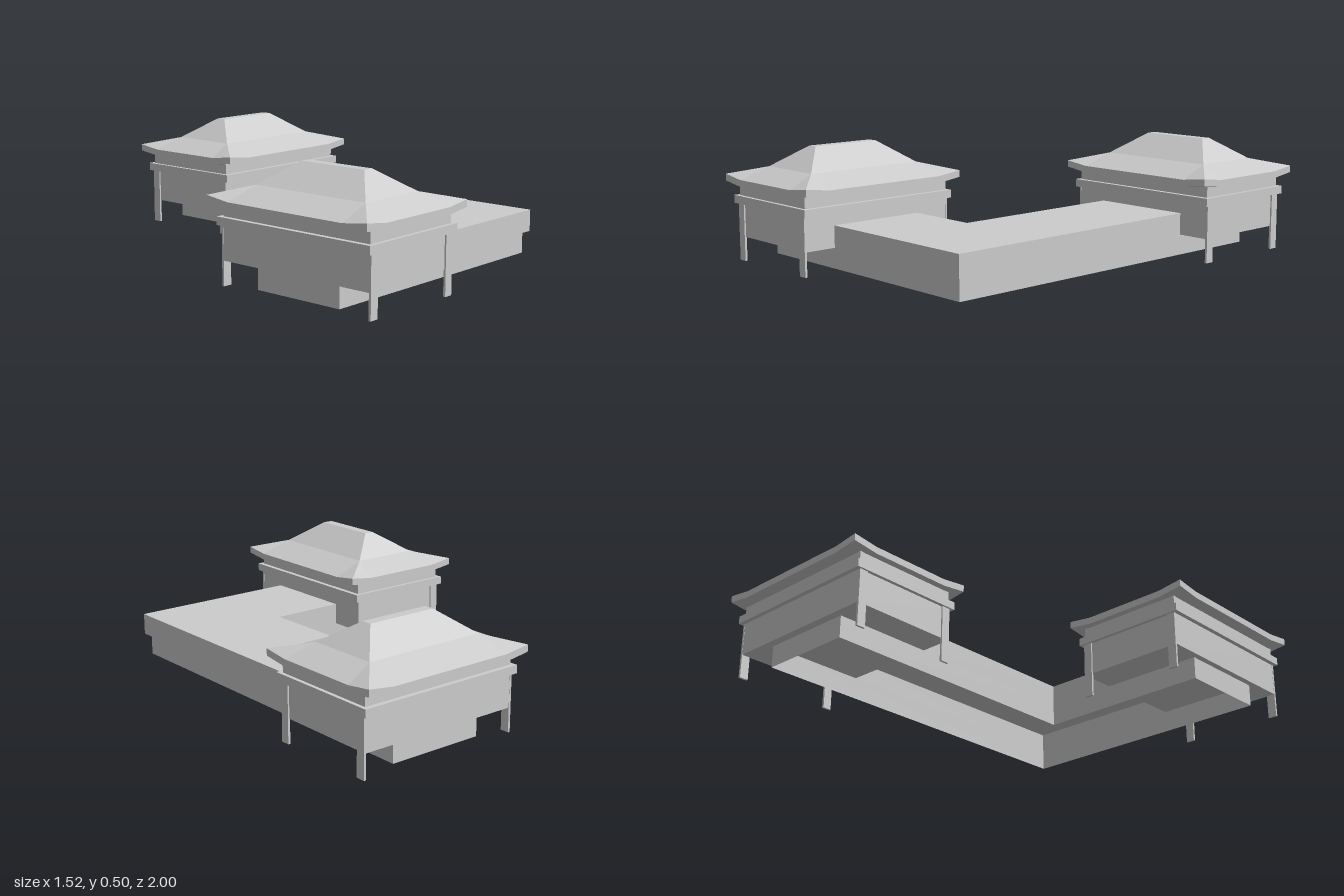
import * as THREE from 'three';

const plaster = new THREE.MeshStandardMaterial({ color: 0xcccccc, side: THREE.DoubleSide });
plaster.name = 'pale grey';

function addMesh(parent, name, geometry, x = 0, y = 0, z = 0) {
  const mesh = new THREE.Mesh(geometry, plaster);
  mesh.name = name;
  mesh.position.set(x, y, z);
  parent.add(mesh);
  return mesh;
}

// Box given by half sizes and its bottom and top heights
function addBox(parent, name, hx, hz, y0, y1, x = 0, z = 0) {
  return addMesh(parent, name, new THREE.BoxGeometry(hx * 2, y1 - y0, hz * 2), x, (y0 + y1) / 2, z);
}

function facets(points) {
  const geometry = new THREE.BufferGeometry().setFromPoints(points);
  geometry.computeVertexNormals();
  return geometry;
}

// Joins a stack of loops (counter-clockwise from above) with flat facets
function skin(loops, closed = true) {
  const out = [];
  const tri = (a, b, c) => {
    const area = b.clone().sub(a).cross(c.clone().sub(a)).length();
    if (area > 1e-8) out.push(a, b, c);
  };
  for (let k = 0; k < loops.length - 1; k++) {
    const a = loops[k], b = loops[k + 1], n = a.length;
    for (let i = 0; i < (closed ? n : n - 1); i++) {
      const j = (i + 1) % n;
      tri(a[i], a[j], b[j]);
      tri(a[i], b[j], b[i]);
    }
  }
  return facets(out);
}

// Twelve-point rectangle: each corner has a point on either side of it;
// lift raises the corner, cut pulls it back onto the chord between its neighbours
function ring(hx, hz, y, inset = 0, lift = 0, cut = 0) {
  const points = [];
  for (const [sx, sz] of [[1, 1], [1, -1], [-1, -1], [-1, 1]]) {
    const alongX = new THREE.Vector3(sx * (hx - inset), y, sz * hz);
    const alongZ = new THREE.Vector3(sx * hx, y, sz * (hz - inset));
    const corner = new THREE.Vector3(sx * (hx - cut), y + lift, sz * (hz - cut));
    points.push(...(sx * sz > 0 ? [alongX, corner, alongZ] : [alongZ, corner, alongX]));
  }
  return points;
}

// Hipped roof with a bent slope and raised eave corners
function roofGeometry() {
  const c = 0.115;
  return skin([
    ring(0, 0, 0.33),
    ring(0.305, 0.405, 0.33, c, 0, c / 2),
    ring(0.305, 0.405, 0.33, c, 0.015),
    ring(0.305, 0.405, 0.36, c, 0.015),
    ring(0.158, 0.278, 0.411),
    ring(0.023, 0.16, 0.503),
    ring(0, 0, 0.503),
  ]);
}

// Pavilion with its long side along z
function pavilion(name) {
  const group = new THREE.Group();
  group.name = name;
  addBox(group, 'pavilionBody', 0.247, 0.373, 0.105, 0.25);
  addBox(group, 'wallBand', 0.267, 0.389, 0.25, 0.285);
  addBox(group, 'upperWall', 0.246, 0.373, 0.285, 0.332);
  for (const sx of [-1, 1]) for (const sz of [-1, 1]) {
    addBox(group, 'cornerPost', 0.02, 0.005, 0, 0.25, sx * 0.228, sz * 0.375);
  }
  addMesh(group, 'roof', roofGeometry());
  return group;
}

// Flat plate from [x, z] points
function plate(outline, y) {
  const shape = new THREE.Shape(outline.map(([x, z]) => new THREE.Vector2(x, -z)));
  return new THREE.ShapeGeometry(shape).rotateX(-Math.PI / 2).translate(0, y, 0);
}

// Thin upright walls along [x, z] points
function walls(outline, y0, y1, closed) {
  const loop = (y) => outline.map(([x, z]) => new THREE.Vector3(x, y, z));
  return skin([loop(y0), loop(y1)], closed);
}

// L-shaped outline: end on x, end on z, outer corner
const corridorOutline = (endX, endZ, outX, outZ) => [
  [endX, outZ], [outX, outZ], [outX, endZ], [0.125, endZ], [0.125, 0.385], [endX, 0.385],
];

export function createModel() {
  const model = new THREE.Group();
  model.name = 'pavilionsWithCorridor';

  const sidePavilion = pavilion('sidePavilion');
  sidePavilion.position.set(-0.455, 0, 0.595);
  const rearPavilion = pavilion('rearPavilion');
  rearPavilion.position.set(0.355, 0, -0.695);
  rearPavilion.rotation.y = Math.PI / 2;
  model.add(sidePavilion, rearPavilion);

  // Hollow L-shaped corridor, open underneath
  const corridor = new THREE.Group();
  corridor.name = 'corridor';
  model.add(corridor);
  const endX = -0.215, endZ = -0.455;
  const upper = corridorOutline(endX, endZ, 0.583, 0.825);
  const lower = corridorOutline(-0.675, -0.905, 0.56, 0.803);
  addMesh(corridor, 'corridorTop', plate(upper, 0.2));
  addMesh(corridor, 'outerUpperWall', walls(upper.slice(0, 3), 0.105, 0.2, false));
  addMesh(corridor, 'innerUpperWall', walls(upper.slice(3), 0.105, 0.2, false));
  addMesh(corridor, 'lowerWall', walls(lower, 0.008, 0.105, true));

  // Underside of the overhang between upper and lower walls
  addMesh(corridor, 'overhang', plate([
    [endX, 0.825], [0.583, 0.825], [0.583, endZ], [0.56, endZ], [0.56, 0.803], [endX, 0.803],
  ], 0.105));

  return model;
}
